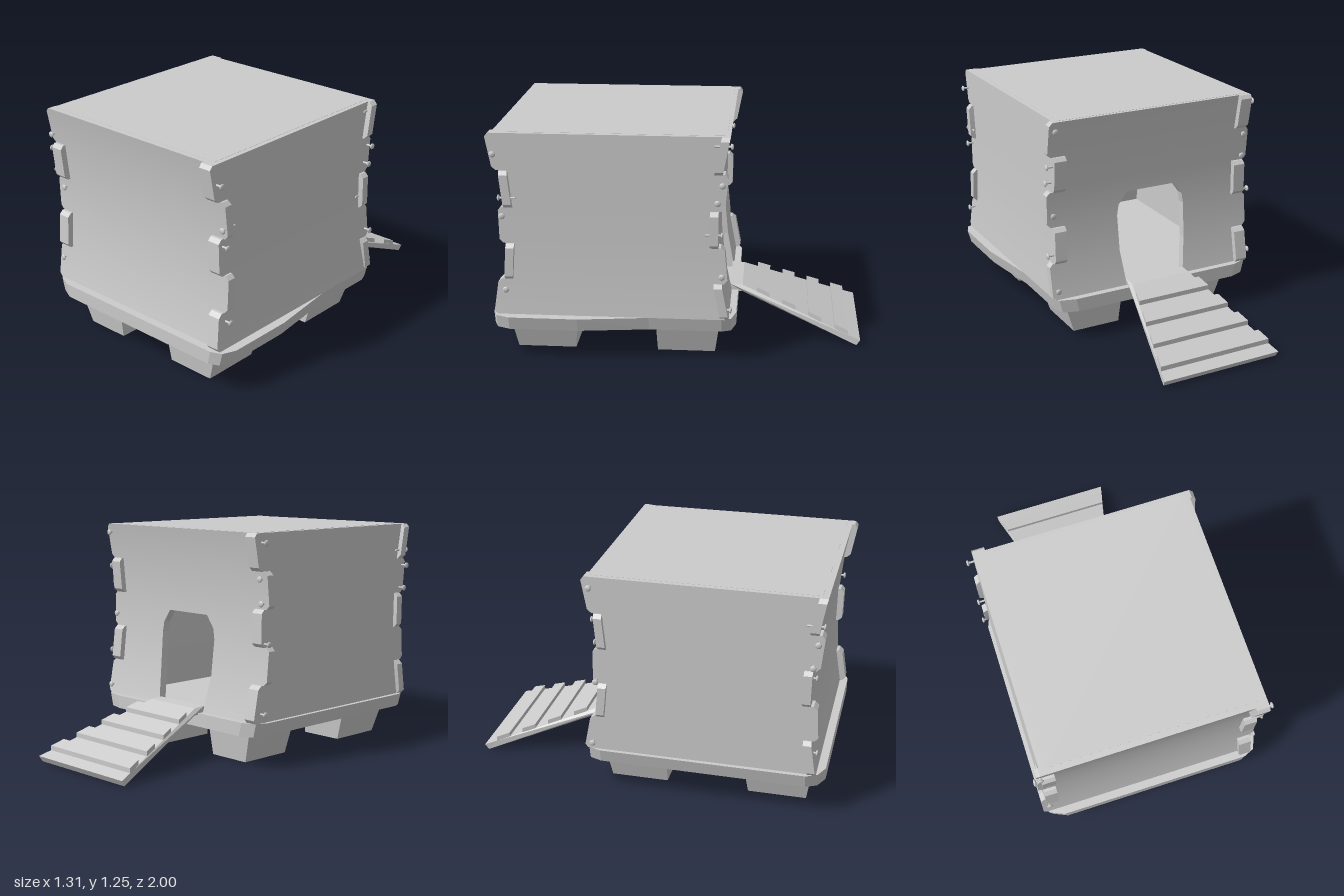
import * as THREE from 'three';

const material = new THREE.MeshStandardMaterial({ color: 0xcccccc });
const FLOOR = 0.25, BAND = 0.2, BANDS = 5;

// Outer faces of the four walls by height: front and back bow inwards
const frontZ = y => 0.905 + 0.21 * (y - 0.72) ** 2;
const backZ = y => -0.218 - 0.24 * (y - 0.75) ** 2;
const leftX = y => 0.58 + 0.08 * Math.max(0, 0.75 - y) ** 2;
const rightX = () => -0.615;

function add(parent, name, geometry) {
  const mesh = new THREE.Mesh(geometry, material);
  mesh.name = name;
  parent.add(mesh);
  return mesh;
}

// Moves every vertex by a rule and rebuilds the normals
function warp(geometry, rule) {
  const p = geometry.attributes.position, v = new THREE.Vector3();
  for (let i = 0; i < p.count; i++) {
    rule(v.fromBufferAttribute(p, i));
    p.setXYZ(i, v.x, v.y, v.z);
  }
  geometry.computeVertexNormals();
  return geometry;
}

function extrude(points, depth) {
  const shape = new THREE.Shape(points.map(([x, y]) => new THREE.Vector2(x, y)));
  return new THREE.ExtrudeGeometry(shape, { depth, bevelEnabled: false });
}

// Smooth shading for the curved faces of a wall piece
function smoothFaces(geometry, axis, curve) {
  const p = geometry.attributes.position, n = geometry.attributes.normal, v = new THREE.Vector3();
  for (let i = 0; i < p.count; i++) {
    v.fromBufferAttribute(n, i);
    if (Math.abs(v[axis]) < 0.9) continue;
    const y = p.getY(i), sign = Math.sign(v[axis]);
    const slope = (curve(y + 0.001) - curve(y - 0.001)) / 0.002;
    v.set(0, -slope, 0);
    v[axis] = 1;
    v.normalize().multiplyScalar(sign);
    n.setXYZ(i, v.x, v.y, v.z);
  }
}

// Wall of stacked bands whose ends alternate between finger tabs and recesses.
// ends: for each side, its tab parity, tab edge and recessed edge
function wall(name, { axis, curve, out, thickness, middle, ends, opening = {} }) {
  const group = new THREE.Group();
  group.name = name;
  const cut = 0.02;
  for (let b = 0; b < BANDS; b++) {
    const y0 = FLOOR + b * BAND, y1 = y0 + BAND;
    for (const side of [1, -1]) {
      const { parity, tab, recess } = ends[side];
      const outer = b % 2 === parity
        ? [[tab(y1) - side * cut, y1], [tab(y1 - cut), y1 - cut],
          [tab(y0 + cut), y0 + cut], [tab(y0) - side * cut, y0]]
        : [[recess(y1), y1], [recess(y0), y0]];
      const inner = (opening[b] || [[0, y0], [0, y1]]).map(([u, y]) => [middle + side * u, y]);
      const g = extrude([...outer, ...inner], thickness);
      if (axis === 'x') g.rotateY(-Math.PI / 2).translate(thickness, 0, 0);
      const shift = out > 0 ? -thickness : 0;
      warp(g, v => { v[axis] += shift + curve(v.y); });
      smoothFaces(g, axis, curve);
      add(group, name + 'Band', g);
    }
  }
  return group;
}

// Block tapering from a top rectangle to a bottom one
function foot(topX, topZ, lowX, lowZ) {
  const g = new THREE.BoxGeometry(1, 0.18, 1).toNonIndexed().translate(0, 0.09, 0);
  return warp(g, v => {
    const [xs, zs] = v.y > 0.05 ? [topX, topZ] : [lowX, lowZ];
    v.x = xs[v.x > 0 ? 1 : 0];
    v.z = zs[v.z > 0 ? 1 : 0];
  });
}

export function createModel() {
  const model = new THREE.Group();
  model.name = 'house';

  // Front and back walls, the back one with a doorway
  const plain = parity => ({
    1: { parity, tab: () => 0.61, recess: () => 0.56 },
    [-1]: { parity: 1 - parity, tab: () => -0.64, recess: () => -0.59 },
  });
  model.add(wall('frontWall', {
    axis: 'z', curve: frontZ, out: 1, thickness: 0.045, middle: 0, ends: plain(1),
  }));
  model.add(wall('backWall', {
    axis: 'z', curve: backZ, out: -1, thickness: 0.045, middle: -0.02, ends: plain(0),
    opening: {
      0: [[0.18, 0.25], [0.205, 0.45]],
      1: [[0.205, 0.45], [0.21, 0.65]],
      2: [[0.21, 0.65], [0.2, 0.71], [0.15, 0.78], [0, 0.78], [0, 0.85]],
    },
  }));

  // Side walls, their ends following the bow of front and back
  const bowed = parity => ({
    1: { parity, tab: y => frontZ(y) + 0.035, recess: y => frontZ(y) - 0.02 },
    [-1]: { parity: 1 - parity, tab: y => backZ(y) - 0.032, recess: y => backZ(y) + 0.02 },
  });
  model.add(wall('leftWall', {
    axis: 'x', curve: leftX, out: 1, thickness: 0.07, middle: 0.34, ends: bowed(0),
  }));
  model.add(wall('rightWall', {
    axis: 'x', curve: rightX, out: -1, thickness: 0.07, middle: 0.34, ends: bowed(1),
  }));

  // Flat roof set between the walls
  add(model, 'roof', new THREE.BoxGeometry(1.14, 0.05, 1.19)).position.set(-0.017, 1.226, 0.337);

  // Base plate with cut corners, narrower underneath
  const outline = [[-0.53, -0.315], [0.49, -0.315], [0.58, -0.29], [0.6, -0.24], [0.6, 0.15],
    [0.65, 0.53], [0.65, 0.9], [0.62, 0.97], [0.56, 0.995], [-0.53, 0.995], [-0.61, 0.96],
    [-0.64, 0.9], [-0.635, -0.22], [-0.61, -0.285]];
  const base = extrude(outline.map(([x, z]) => [x, -z]), 0.075).rotateX(-Math.PI / 2);
  add(model, 'basePlate', warp(base, v => {
    if (v.y < 0.03) v.x *= 0.968;
    v.y += 0.175;
  }));

  // Four tapered feet
  const footX = [[[-0.505, -0.19], [-0.45, -0.2]], [[0.165, 0.515], [0.175, 0.455]]];
  const footZ = [[[0.55, 0.915], [0.57, 0.89]], [[-0.225, 0.12], [-0.2, 0.115]]];
  for (const [topX, lowX] of footX)
    for (const [topZ, lowZ] of footZ) add(model, 'foot', foot(topX, topZ, lowX, lowZ));

  // Ramp with raised treads, fanning out towards the ground
  const rampTop = z => 0.28 + (z + 0.34) * 0.375;
  const profile = [[-0.27, 0.245], [-0.27, 0.285], [-0.34, 0.28]];
  for (let i = 0; i < 4; i++) {
    const a = -0.42 - i * 0.146, b = a - 0.073;
    profile.push([a, rampTop(a)], [a, rampTop(a) + 0.026], [b, rampTop(b) + 0.026], [b, rampTop(b)]);
  }
  profile.push([-1, 0.035], [-0.98, 0.003], [-0.34, 0.24]);
  const ramp = extrude(profile, 1).rotateY(-Math.PI / 2).translate(0.5, 0, 0);
  add(model, 'ramp', warp(ramp, v => {
    v.x = v.x * (0.36 + 0.34 * Math.max(0, -0.34 - v.z) / 0.66) - 0.02;
  }));

  // Round-headed nails along the corner joints
  const shaft = new THREE.CylinderGeometry(0.006, 0.006, 0.09, 8);
  const head = new THREE.SphereGeometry(0.017, 12, 8).scale(1, 0.45, 1);
  const up = new THREE.Vector3(0, 1, 0);
  const nail = (x, y, z, dx, dz, reach = 0.035) => {
    const g = new THREE.Group();
    g.name = 'nail';
    add(g, 'nailShaft', shaft).position.y = reach - 0.045;
    add(g, 'nailHead', head).position.y = reach;
    g.position.set(x, y, z);
    g.quaternion.setFromUnitVectors(up, new THREE.Vector3(dx, 0, dz));
    model.add(g);
  };
  for (const [z, y] of [[0.95, 1.145], [0.915, 0.81], [0.91, 0.4], [-0.24, 1], [-0.215, 0.905], [-0.24, 0.5]])
    nail(leftX(y), y, z, 1, 0);
  for (const [z, y] of [[0.93, 1.01], [0.91, 0.88], [-0.255, 1.2], [-0.23, 0.67], [-0.255, 0.3]])
    nail(rightX(y), y, z, -1, 0);
  for (const [x, y] of [[0.595, 0.905], [-0.62, 1.1], [-0.58, 0.795], [-0.6, 0.375]])
    nail(x, y, frontZ(y), 0, 1, 0.02);
  for (const [x, y] of [[0.58, 1.2], [0.58, 0.72], [0.58, 0.3], [-0.6, 1.01], [-0.6, 0.88]])
    nail(x, y, backZ(y), 0, -1, 0.02);

  return model;
}
